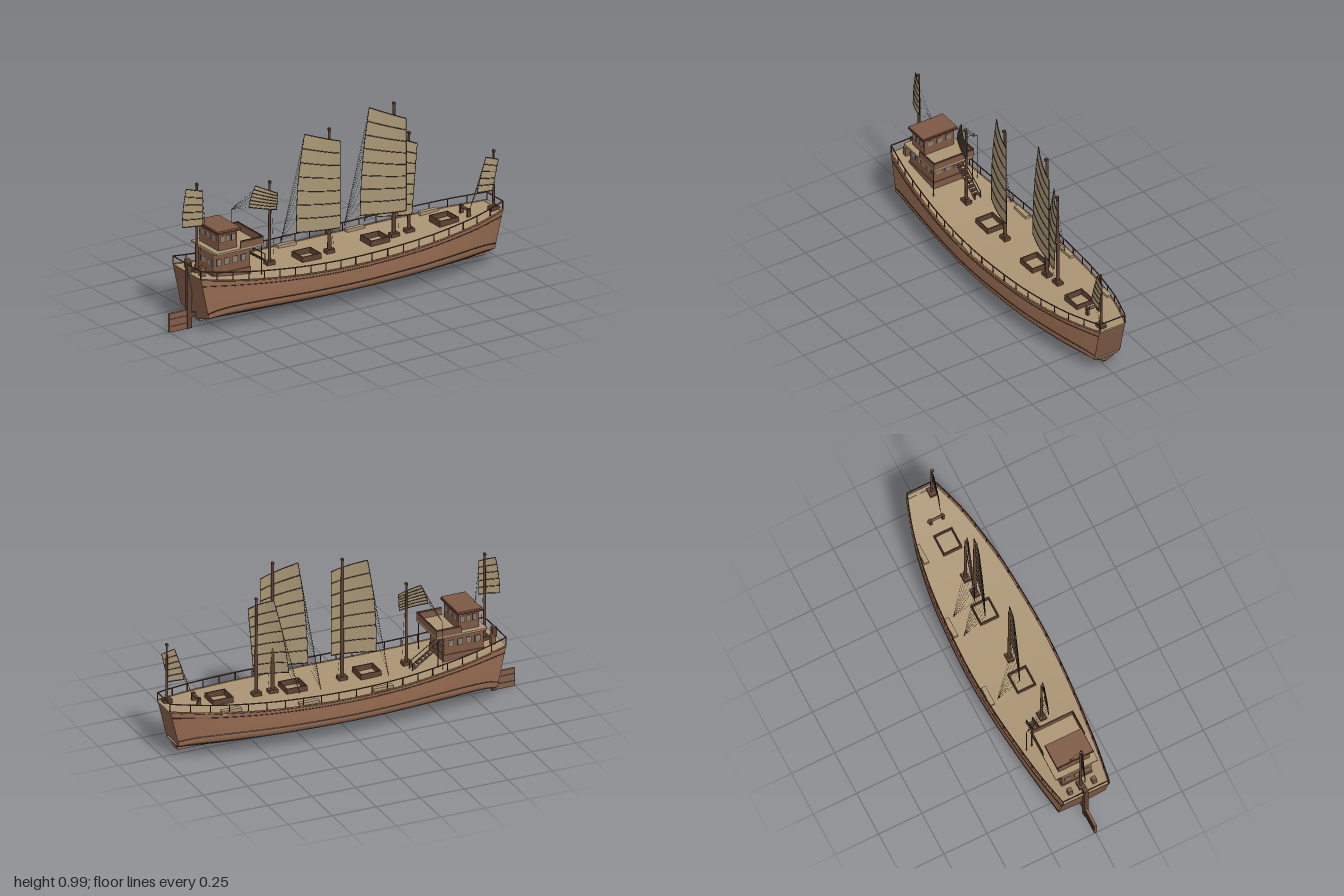
import * as THREE from 'three';

const mat = (name, color) => {
  const m = new THREE.MeshStandardMaterial({ color, side: THREE.DoubleSide });
  m.name = name;
  return m;
};
const V = (x, y, z) => new THREE.Vector3(x, y, z);

export function createModel() {
  const root = new THREE.Group();
  root.name = 'sailingJunk';
  const M = {
    hull: mat('hullBrown', 0x956a50),
    transom: mat('transomBrown', 0x815d48),
    deck: mat('deckTan', 0xaa9473),
    sail: mat('sailCanvas', 0xa79574),
    house: mat('houseBrown', 0x7d5844),
    mast: mat('mastBrown', 0x5e4232),
    rail: mat('railRedBrown', 0x5c352a),
    trim: mat('darkTrim', 0x3e2d23),
    pane: mat('windowGrey', 0x857d6e),
  };

  // Helpers
  const add = (name, geo, m, parent = root) => {
    const mesh = new THREE.Mesh(geo, m);
    mesh.name = name;
    parent.add(mesh);
    return mesh;
  };
  const group = (name) => {
    const g = new THREE.Group();
    g.name = name;
    root.add(g);
    return g;
  };
  const box = (name, x0, x1, y0, y1, z0, z1, m, parent) => {
    const mesh = add(name, new THREE.BoxGeometry(x1 - x0, y1 - y0, z1 - z0), m, parent);
    mesh.position.set((x0 + x1) / 2, (y0 + y1) / 2, (z0 + z1) / 2);
    return mesh;
  };
  const bar = (name, a, b, r, m, parent, sides = 5, r2 = r) => {
    const mesh = add(name, new THREE.CylinderGeometry(r2, r, a.distanceTo(b), sides), m, parent);
    mesh.position.copy(a).add(b).multiplyScalar(0.5);
    mesh.quaternion.setFromUnitVectors(V(0, 1, 0), b.clone().sub(a).normalize());
    return mesh;
  };
  const tube = (name, pts, r, m, parent, n = 40) =>
    add(name, new THREE.TubeGeometry(new THREE.CatmullRomCurve3(pts), n, r, 5), m, parent);
  const grid = (nu, nv, f) => {
    const pos = [], idx = [];
    for (let i = 0; i <= nu; i++)
      for (let j = 0; j <= nv; j++) {
        pos.push(...f(i, j).toArray());
        if (i < nu && j < nv) {
          const a = i * (nv + 1) + j, b = a + nv + 1;
          idx.push(a, b, a + 1, b, b + 1, a + 1);
        }
      }
    const g = new THREE.BufferGeometry();
    g.setAttribute('position', new THREE.Float32BufferAttribute(pos, 3));
    g.setIndex(idx);
    g.computeVertexNormals();
    return g;
  };

  // Hull form: deck outline, sheer and cross-section
  const outline = new THREE.SplineCurve([[-0.89, 0.135], [-0.7, 0.168], [-0.5, 0.192], [-0.25, 0.215],
    [0, 0.225], [0.25, 0.218], [0.5, 0.198], [0.75, 0.155], [0.9, 0.112], [0.992, 0.079]]
    .map(([x, w]) => new THREE.Vector2(x, w))).getPoints(120);
  const width = (x) => {
    const k = Math.max(1, outline.findIndex((p) => p.x >= x - 1e-6));
    const a = outline[k - 1], b = outline[k];
    return a.y + (b.y - a.y) * (x - a.x) / (b.x - a.x);
  };
  const sheer = (x) => 0.235 + (x < 0 ? 0.075 * Math.pow(-x / 0.89, 2.2) : 0.052 * (x / 0.99) ** 2);
  // profile entries: width fraction, height, share of the way up to the deck
  const profile = [[0, 0.036, 0], [0.25, 0.045, 0], [0.58, 0.064, 0], [0.85, 0.087, 0], [0.96, 0.103, 0],
    [1, 0.125, 0], [1, 0.125, 0.5], [1, 0.125, 1]];
  // The round bilge turns into a flat V towards both transoms
  const hullPoint = (u, [f, h, q], side, out = 0) => {
    const X = u * (u > 0 ? 0.992 : 0.89);
    const s = sheer(X);
    const low = THREE.MathUtils.lerp(h, 0.037 + 0.046 * f, u ** 8);
    const y = low + q * (s - low), k = (y - 0.03) / (s - 0.03);
    const x = u * (u > 0 ? 0.93 + 0.062 * k : 0.83 + 0.06 * k);
    return V(x, y, side * (f * width(X) + out));
  };
  const N = 40, P = profile.length - 1, top = profile[P];
  const U = (i) => -1 + 2 * i / N;
  const hull = group('hull');
  add('hullShell', grid(N, 2 * P, (i, j) => hullPoint(U(i), profile[Math.abs(j - P)], j < P ? 1 : -1)), M.hull, hull);
  add('deck', grid(N, 2, (i, j) => hullPoint(U(i), top, 1 - j)), M.deck, hull);
  for (const u of [-1, 1])
    add(u > 0 ? 'bowTransom' : 'sternTransom', grid(P, 2, (i, j) => hullPoint(u, profile[i], (j - 1) * u)), M.transom, hull);
  box('keel', -0.82, 0.92, 0.028, 0.045, -0.012, 0.012, M.hull, hull);
  box('bowSill', 0.93, 0.952, 0.078, 0.085, -0.058, 0.058, M.deck, hull);
  box('bowHeadboard', 0.975, 0.996, 0.278, 0.288, -0.076, 0.076, M.deck, hull);

  // Wales, rails and stanchions on both sides
  const rails = group('railings');
  for (const side of [1, -1]) {
    const line = (p, out, dy = 0) => Array.from({ length: N + 1 }, (_, i) => {
      const v = hullPoint(U(i), p, side, out);
      v.y += dy;
      return v;
    });
    tube('upperWale', line([1, 0.125, 0.82], 0), 0.002, M.trim, hull, 60);
    tube('middleWale', line([1, 0.125, 0.12], 0), 0.003, M.trim, hull, 60);
    tube('bilgeWale', line([0.93, 0.098, 0], 0), 0.0025, M.trim, hull, 60);
    tube('lowerWale', line([0.72, 0.076, 0], 0), 0.002, M.trim, hull, 60);
    tube('deckEdge', line(top, 0), 0.005, M.hull, hull, 60);
    tube('handRail', line(top, -0.002, 0.045), 0.0035, M.rail, rails, 60);
    for (let i = 0; i <= 20; i++) {
      const a = hullPoint(-1 + i / 10, top, side, -0.003);
      bar('stanchion', a, a.clone().add(V(0, 0.045, 0)), 0.003, M.rail, rails);
    }
  }
  for (const u of [-1, 1]) {
    const a = hullPoint(u, top, 1), b = hullPoint(u, top, -1);
    a.y = b.y += 0.045;
    bar('endRail', a, b, 0.0035, M.rail, rails);
  }

  // Rudder
  const rudder = group('rudder');
  box('rudderBlade', -1, -0.88, 0, 0.102, -0.007, 0.007, M.transom, rudder);
  for (const y of [0.03, 0.07]) box('rudderStrap', -0.995, -0.87, y, y + 0.003, -0.009, 0.009, M.trim, rudder);
  box('rudderPost', -0.895, -0.868, 0, 0.36, -0.012, 0.012, M.mast, rudder);
  box('rudderHinge', -0.88, -0.82, 0.06, 0.08, -0.008, 0.008, M.mast, rudder);

  // Hatches amidships and lockers by the right-hand rail
  for (const [x, z] of [[-0.16, -0.195], [0.26, -0.195], [0.68, -0.15]]) {
    const y = sheer(x);
    const h = group('hatch');
    for (const s of [-1, 1]) {
      box('coaming', x - 0.058, x + 0.058, y - 0.01, y + 0.03, s * 0.05 - 0.003, s * 0.05 + 0.003, M.mast, h);
      box('coaming', x + s * 0.055 - 0.003, x + s * 0.055 + 0.003, y - 0.01, y + 0.03, -0.05, 0.05, M.mast, h);
    }
    box('sideLocker', x - 0.055, x + 0.055, y - 0.01, y + 0.016, z - 0.013, z + 0.013, M.deck, h);
  }

  // Bow windlass and stern bollards
  const gear = group('deckGear');
  for (const z of [-0.035, 0.035]) {
    box('windlassPost', 0.8, 0.82, 0.26, 0.315, z - 0.006, z + 0.006, M.mast, gear);
    box('sternBollard', -0.855, -0.83, 0.29, 0.35, z * 2 - 0.012, z * 2 + 0.012, M.house, gear);
  }
  bar('windlassDrum', V(0.81, 0.305, -0.05), V(0.81, 0.305, 0.045), 0.008, M.mast, gear, 8);

  // Deckhouse, bridge and balcony
  const house = group('deckhouse');
  box('lowerHouse', -0.785, -0.56, 0.245, 0.42, -0.085, 0.085, M.house, house);
  box('houseSkirt', -0.79, -0.555, 0.25, 0.3, -0.09, 0.09, M.house, house);
  box('bridgeDeck', -0.787, -0.5, 0.415, 0.426, -0.122, 0.122, M.deck, house);
  box('bridge', -0.755, -0.64, 0.425, 0.525, -0.09, 0.09, M.house, house);
  box('roof', -0.768, -0.63, 0.528, 0.538, -0.105, 0.105, M.house, house);
  box('roofEdge', -0.77, -0.628, 0.522, 0.53, -0.107, 0.107, M.rail, house);
  box('frontParapet', -0.506, -0.5, 0.426, 0.462, -0.122, 0.122, M.house, house);
  bar('balconyRail', V(-0.503, 0.467, -0.122), V(-0.503, 0.467, 0.122), 0.003, M.rail, house);
  for (const s of [1, -1]) {
    const z = s * 0.12;
    box('sideParapet', -0.64, -0.5, 0.426, 0.462, z - 0.003, z + 0.003, M.house, house);
    bar('balconyRail', V(-0.64, 0.467, z), V(-0.5, 0.467, z), 0.003, M.rail, house);
    bar('balconyPost', V(-0.51, sheer(-0.51), z), V(-0.51, 0.465, z), 0.003, M.mast, house);
    const pane = (x, y, hw, hh, zz) => {
      box('windowFrame', x - hw - 0.003, x + hw + 0.003, y - hh - 0.003, y + hh + 0.003, zz - 0.001, zz + 0.001, M.trim, house);
      box('windowPane', x - hw, x + hw, y - hh, y + hh, zz - 0.002, zz + 0.002, M.pane, house);
    };
    for (const x of [-0.75, -0.7, -0.65, -0.6]) pane(x, 0.36, 0.013, 0.016, s * 0.085);
    for (const x of [-0.73, -0.697, -0.664]) pane(x, 0.488, 0.01, 0.016, s * 0.09);
  }
  for (const z of [-0.055, 0, 0.055])
    for (const [x, y] of [[-0.64, 0.488], [-0.755, 0.488], [-0.56, 0.36], [-0.785, 0.36]])
      box('endWindow', x - 0.002, x + 0.002, y - 0.015, y + 0.015, z - 0.015, z + 0.015, M.pane, house);

  // Stairs from the deckhouse front to the main deck
  const stairs = group('stairs');
  for (const z of [-0.085, -0.05]) {
    bar('stringer', V(-0.56, 0.37, z), V(-0.38, 0.25, z), 0.004, M.mast, stairs);
    bar('stairRail', V(-0.54, 0.39, z), V(-0.38, 0.285, z), 0.0025, M.rail, stairs);
    bar('newel', V(-0.38, 0.24, z), V(-0.38, 0.285, z), 0.0025, M.rail, stairs);
  }
  for (let i = 1; i < 9; i++) {
    const x = -0.56 + 0.02 * i, y = 0.37 - 0.0133 * i;
    box('tread', x - 0.009, x + 0.009, y - 0.002, y + 0.002, -0.085, -0.05, M.mast, stairs);
  }

  // Sheet post beside the balcony
  bar('sheetPost', V(-0.52, 0.24, -0.155), V(-0.52, 0.525, -0.155), 0.002, M.mast);

  // Masts with battened sails; corners are lower aft, upper aft, upper fore, lower fore
  const rig = (name, mx, mTop, r, z0, offset, depth, n, c, bulge, sheet) => {
    const g = group(name);
    const base = sheer(mx);
    bar('mast', V(mx, base, z0), V(mx, mTop, z0), r, M.mast, g, 8, r * 0.6);
    box('mastStep', mx - 0.025, mx + 0.025, base - 0.01, base + 0.02, z0 - 0.018, z0 + 0.018, M.mast, g);
    box('masthead', mx - 0.008, mx + 0.004, mTop - 0.012, mTop, z0 - 0.004, z0 + 0.012, M.mast, g);
    const at = (u, v) => {
      const mix = THREE.MathUtils.lerp;
      const xl = mix(c[0][0], c[1][0], v) - bulge * Math.sin(Math.PI * v);
      const x = mix(xl, mix(c[3][0], c[2][0], v), u);
      const y = mix(mix(c[0][1], c[1][1], v), mix(c[3][1], c[2][1], v), u);
      return V(x, y, z0 + offset - depth * Math.pow(1 - u, 1.6));
    };
    add('sail', grid(10, 4 * n, (i, j) => at(i / 10, j / (4 * n))), M.sail, g);
    const run = (f) => [0, 0.2, 0.4, 0.6, 0.8, 1].map(f);
    for (let k = 0; k <= n; k++) {
      const v = k / n;
      tube('batten', run((u) => at(u, v)), 0.0025, M.trim, g, 10);
      if (sheet) bar('sheetLine', at(0, v), sheet, 0.0006, M.trim, g, 3);
    }
    for (const u of [0, 1]) tube('sailEdge', run((v) => at(u, v)), 0.0016, M.trim, g, 12);
    bar('halyard', at(0.8, 0), V(mx + 0.02, base, z0 + 0.015), 0.0008, M.trim, g, 3);
    return at;
  };
  const stern = rig('sternRig', -0.83, 0.79, 0.009, 0, 0.015, 0.03, 5,
    [[-0.91, 0.555], [-0.885, 0.762], [-0.803, 0.745], [-0.803, 0.555]], 0.005);
  for (const v of [0, 0.3, 0.6, 0.9])
    bar('sternStay', stern(1, v), V(-0.76, 0.54, -0.03), 0.0006, M.trim, root, 3);
  rig('mizzenRig', -0.385, 0.71, 0.009, 0, 0.022, 0.04, 6,
    [[-0.5, 0.58], [-0.46, 0.69], [-0.35, 0.64], [-0.355, 0.55]], 0.006, V(-0.52, 0.525, -0.155));
  rig('aftMainRig', -0.02, 0.925, 0.011, 0, 0.025, 0.058, 7,
    [[-0.2, 0.372], [-0.15, 0.905], [0.03, 0.85], [0.03, 0.37]], 0.015, V(-0.21, 0.285, -0.165));
  rig('mainRig', 0.375, 0.985, 0.012, 0, 0.025, 0.058, 8,
    [[0.19, 0.385], [0.245, 0.97], [0.433, 0.89], [0.433, 0.38]], 0.013, V(0.175, 0.285, -0.165));
  rig('foreMainRig', 0.47, 0.8, 0.01, -0.005, 0.025, 0.058, 7,
    [[0.3, 0.355], [0.385, 0.785], [0.505, 0.735], [0.472, 0.35]], 0.01, V(0.295, 0.285, -0.165));
  rig('bowRig', 0.955, 0.615, 0.008, 0.045, 0.008, 0.012, 5,
    [[0.857, 0.395], [0.912, 0.58], [0.98, 0.558], [0.943, 0.393]], 0.003, V(0.82, 0.31, 0.03));

  return root;
}
